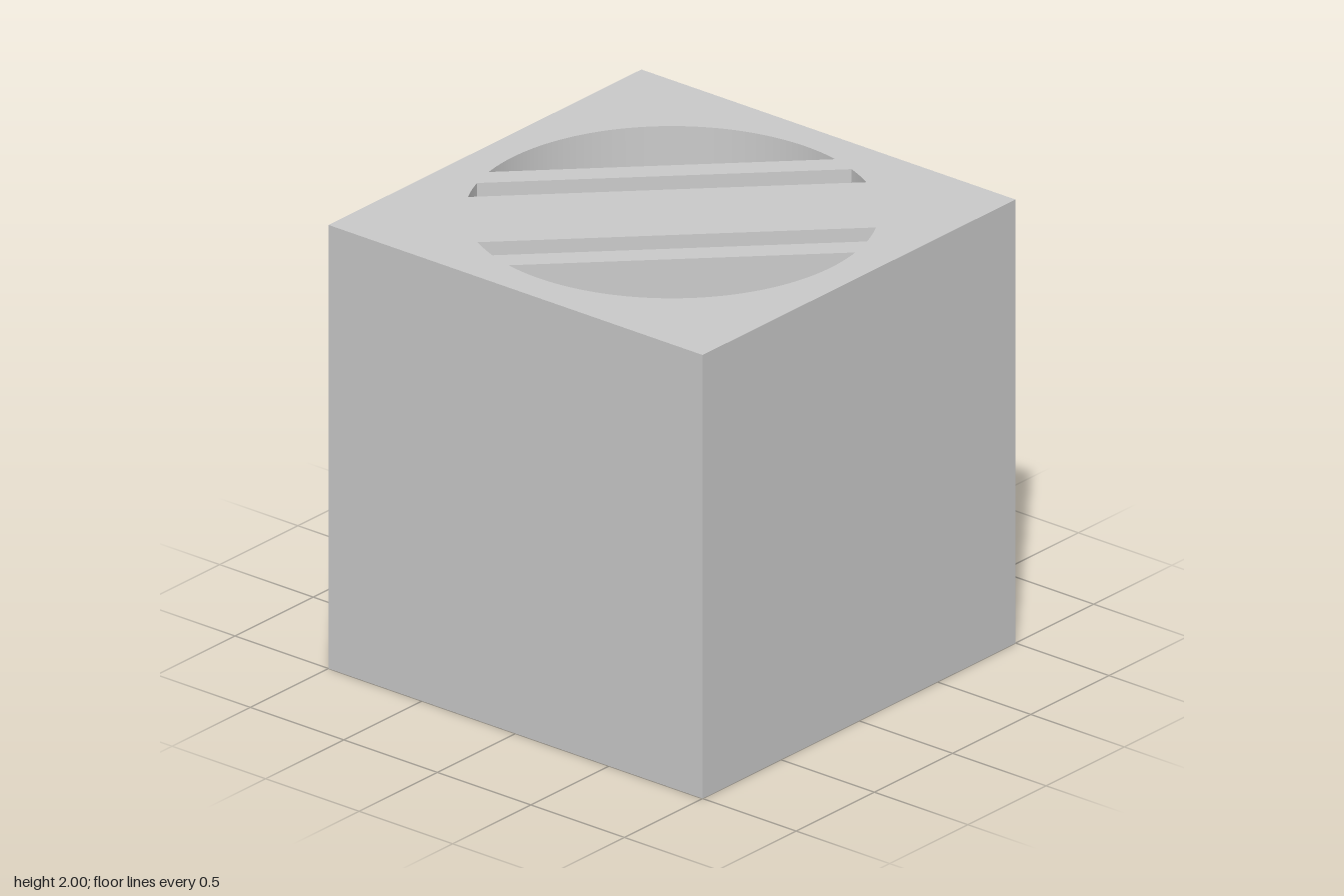
import * as THREE from 'three';
import { toCreasedNormals } from 'three/addons/utils/BufferGeometryUtils.js';

const R = 0.85; // bore radius

// Part of the round bore lying between two parallel chords (distances from the centre).
// outer = R gives the full round segment.
function boreSlice(direction, inner, outer) {
  const a = Math.acos(inner / R);
  const b = Math.acos(Math.min(outer / R, 1));
  const path = new THREE.Path();
  if (b === 0) {
    path.absarc(0, 0, R, direction - a, direction + a, false);
  } else {
    path.absarc(0, 0, R, direction - a, direction - b, false);
    path.absarc(0, 0, R, direction + b, direction + a, false);
  }
  path.closePath();
  return path;
}

export function createModel() {
  const group = new THREE.Group();
  group.name = 'slottedCube';

  // Square block outline
  const outline = new THREE.Shape();
  outline.moveTo(-1, -1).lineTo(1, -1).lineTo(1, 1).lineTo(-1, 1).closePath();

  // Round bore crossed by a wide central bar and a thin bar on each side, on the diagonal
  for (const direction of [Math.PI / 4, Math.PI * 5 / 4]) {
    outline.holes.push(boreSlice(direction, 0.224, 0.358));
    outline.holes.push(boreSlice(direction, 0.462, R));
  }

  // The openings run straight through from top to bottom
  const geometry = new THREE.ExtrudeGeometry(outline, { depth: 2, bevelEnabled: false, curveSegments: 32 });
  geometry.rotateX(-Math.PI / 2);

  const block = new THREE.Mesh(
    toCreasedNormals(geometry, 0.4),
    new THREE.MeshStandardMaterial({ color: 0xcccccc })
  );
  block.name = 'block';
  group.add(block);
  return group;
}
